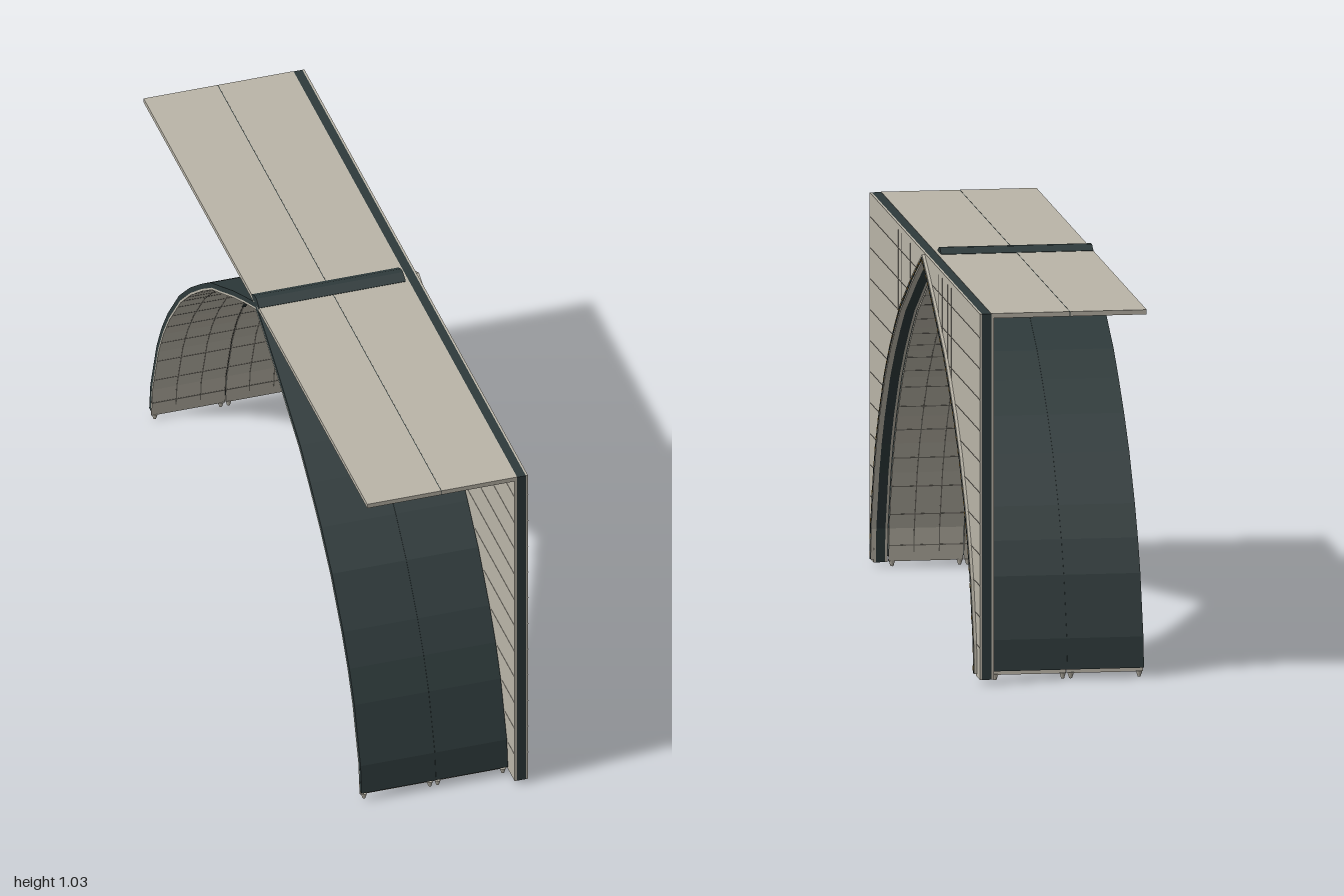
import * as THREE from 'three';

const mat = (name, color) => {
  const m = new THREE.MeshStandardMaterial({ color });
  m.name = name;
  return m;
};

export function createModel() {
  const stone = mat('warm grey stone', 0xbab5a8);
  const slate = mat('dark slate', 0x2e3a3b);
  const joint = mat('joint grey', 0x77746b);
  const gold = mat('lamp gold', 0xb58a3a);

  const model = new THREE.Group();
  model.name = 'vaultedArchBay';

  // Half of the pointed arch, outside line as [z, y] from springing to apex
  const half = [[0.95, 0.01], [0.94, 0.11], [0.885, 0.275], [0.84, 0.365], [0.785, 0.45], [0.685, 0.575],
    [0.59, 0.665], [0.49, 0.745], [0.4, 0.81], [0.32, 0.852], [0.2, 0.917], [0.1, 0.966], [0, 1.012]];
  const arch = [...half, ...half.slice(0, -1).reverse().map(([z, y]) => [-z, y])];

  // The arch line moved inwards by t, with mitred corners
  function offset(t, yBase = 0.01) {
    const normal = (a, b) => {
      const dz = b[0] - a[0], dy = b[1] - a[1], l = Math.hypot(dz, dy);
      return [-dy / l, dz / l];
    };
    return arch.map((p, i) => {
      const n1 = normal(arch[Math.max(i - 1, 0)], arch[Math.max(i, 1)]);
      const last = arch.length - 1;
      const n2 = normal(arch[Math.min(i, last - 1)], arch[Math.min(i + 1, last)]);
      const k = t / (1 + n1[0] * n2[0] + n1[1] * n2[1]);
      const q = [p[0] + (n1[0] + n2[0]) * k, p[1] + (n1[1] + n2[1]) * k];
      return i === 0 || i === last ? [q[0], yBase] : q;
    });
  }

  function add(name, geometry, material, parent = model) {
    const mesh = new THREE.Mesh(geometry, material);
    mesh.name = name;
    parent.add(mesh);
    return mesh;
  }

  // Extrude a [z, y] outline from x0 to x1
  function slice(name, points, x0, x1, material, parent) {
    const shape = new THREE.Shape(points.map(([z, y]) => new THREE.Vector2(z, y)));
    const g = new THREE.ExtrudeGeometry(shape, { depth: x1 - x0, bevelEnabled: false });
    g.rotateY(-Math.PI / 2).translate(x1, 0, 0);
    return add(name, g, material, parent);
  }
  const band = (name, t0, t1, x0, x1, material, yBase, parent) =>
    slice(name, [...offset(t0, yBase), ...offset(t1, yBase).reverse()], x0, x1, material, parent);

  function box(name, x0, x1, y0, y1, z0, z1, material, parent) {
    const mesh = add(name, new THREE.BoxGeometry(x1 - x0, y1 - y0, z1 - z0), material, parent);
    mesh.position.set((x0 + x1) / 2, (y0 + y1) / 2, (z0 + z1) / 2);
    return mesh;
  }

  // Evenly spaced places along the arch: z, y and tilt
  function along(t, step) {
    const line = offset(t), out = [];
    for (let i = 0; i < line.length - 1; i++) {
      const [z, y] = line[i], dz = line[i + 1][0] - z, dy = line[i + 1][1] - y;
      const n = Math.max(1, Math.round(Math.hypot(dz, dy) / step));
      for (let k = 0; k < n; k++) {
        const f = (k + 0.5) / n;
        out.push({ z: z + dz * f, y: y + dy * f, tilt: Math.atan2(-dy, dz) });
      }
    }
    return out;
  }
  function row(name, t, step, x, size, material, yMin = 0) {
    const group = new THREE.Group();
    group.name = name;
    model.add(group);
    const g = new THREE.BoxGeometry(...size);
    for (const p of along(t, step)) {
      if (p.y < yMin) continue;
      const m = add(name + 'Piece', g, material, group);
      m.position.set(x, p.y, p.z);
      m.rotation.x = p.tilt;
    }
  }

  // Vault: dark outer skin over a stone lining, in two strips
  for (const [x0, x1] of [[-0.235, -0.026], [-0.024, 0.18]]) {
    band('vaultSkin', 0, 0.014, x0, x1, slate, 0.026);
    band('vaultLining', 0.014, 0.02, x0, x1, stone, 0.014);
  }
  band('vaultSeam', 0.002, 0.018, -0.026, -0.024, slate, 0.026);

  // Grid of joints on the underside of the vault
  for (let i = 1; i < 6; i++) {
    const x = -0.235 + i * 0.0692;
    band('lengthwiseJoint', 0.0195, 0.0205, x - 0.0015, x + 0.0015, joint, 0.02);
  }
  row('crossJoints', 0.02, 0.075, -0.0275, [0.415, 0.001, 0.003], joint);

  // Lamp rail along the crown of the lining
  row('lampRail', 0.021, 0.03, -0.025, [0.01, 0.004, 0.022], slate, 0.45);
  row('railLamps', 0.023, 0.03, -0.025, [0.006, 0.004, 0.007], gold, 0.45);

  // Small feet under the vault
  const footGeometry = new THREE.CylinderGeometry(0.009, 0.004, 0.016, 8);
  for (const side of [1, -1]) {
    for (const x of [-0.224, -0.037, -0.015, 0.17]) {
      add('vaultFoot', footGeometry, stone).position.set(x, 0.008, side * 0.935);
    }
  }

  // Side wall: dark core between two stone faces, cut by the arch
  const wallOutline = [[1, 0.012], [1, 1.015], [-1, 1.015], [-1, 0.012], ...offset(0.02, 0.012).reverse()];
  slice('wallInnerFace', wallOutline, 0.183, 0.19, stone);
  slice('wallCore', wallOutline, 0.19, 0.215, slate);
  slice('wallOuterFace', wallOutline, 0.215, 0.221, stone);

  // Fine panel joints on both wall faces
  const lerpHalf = (v, from, to) => {
    for (let i = 0; i < half.length - 1; i++) {
      const a = half[i], b = half[i + 1], f = (v - a[from]) / (b[from] - a[from]);
      if (f >= 0 && f <= 1) return a[to] + (b[to] - a[to]) * f;
    }
    return 0;
  };
  for (const side of [1, -1]) {
    for (const [x0, x1] of [[0.182, 0.183], [0.221, 0.222]]) {
      for (let y = 0.1; y < 0.96; y += 0.085) {
        const z = lerpHalf(y, 1, 0);
        const [a, b] = side > 0 ? [z, 1] : [-1, -z];
        box('wallPanelJoint', x0, x1, y - 0.001, y + 0.001, a, b, stone);
      }
      for (const z of [0.26, 0.32, 0.42, 0.48]) {
        box('wallUprightJoint', x0, x1, lerpHalf(z, 0, 1), 1.0, side * z - 0.001, side * z + 0.001, stone);
      }
    }
  }

  // Moulding around the arch on the outer wall face
  band('archMoulding', 0, 0.02, 0.221, 0.229, stone, 0.02);
  band('archMouldingLine', 0.006, 0.014, 0.229, 0.23, slate, 0.02);
  row('archLamps', 0.01, 0.04, 0.23, [0.002, 0.005, 0.014], gold);

  // Flat deck in two strips
  box('deckOuter', -0.235, -0.026, 1.003, 1.016, -1, 1, stone);
  box('deckInner', -0.024, 0.19, 1.003, 1.016, -1, 1, stone);
  box('deckSeam', -0.026, -0.024, 1.004, 1.0155, -1, 1, slate);

  // Dark ridge cap across the deck
  slice('ridgeCap', [[0.034, 1.008], [0.034, 1.017], [0.008, 1.03], [-0.008, 1.03], [-0.034, 1.017], [-0.034, 1.008]],
    -0.235, 0.181, slate);

  return model;
}
